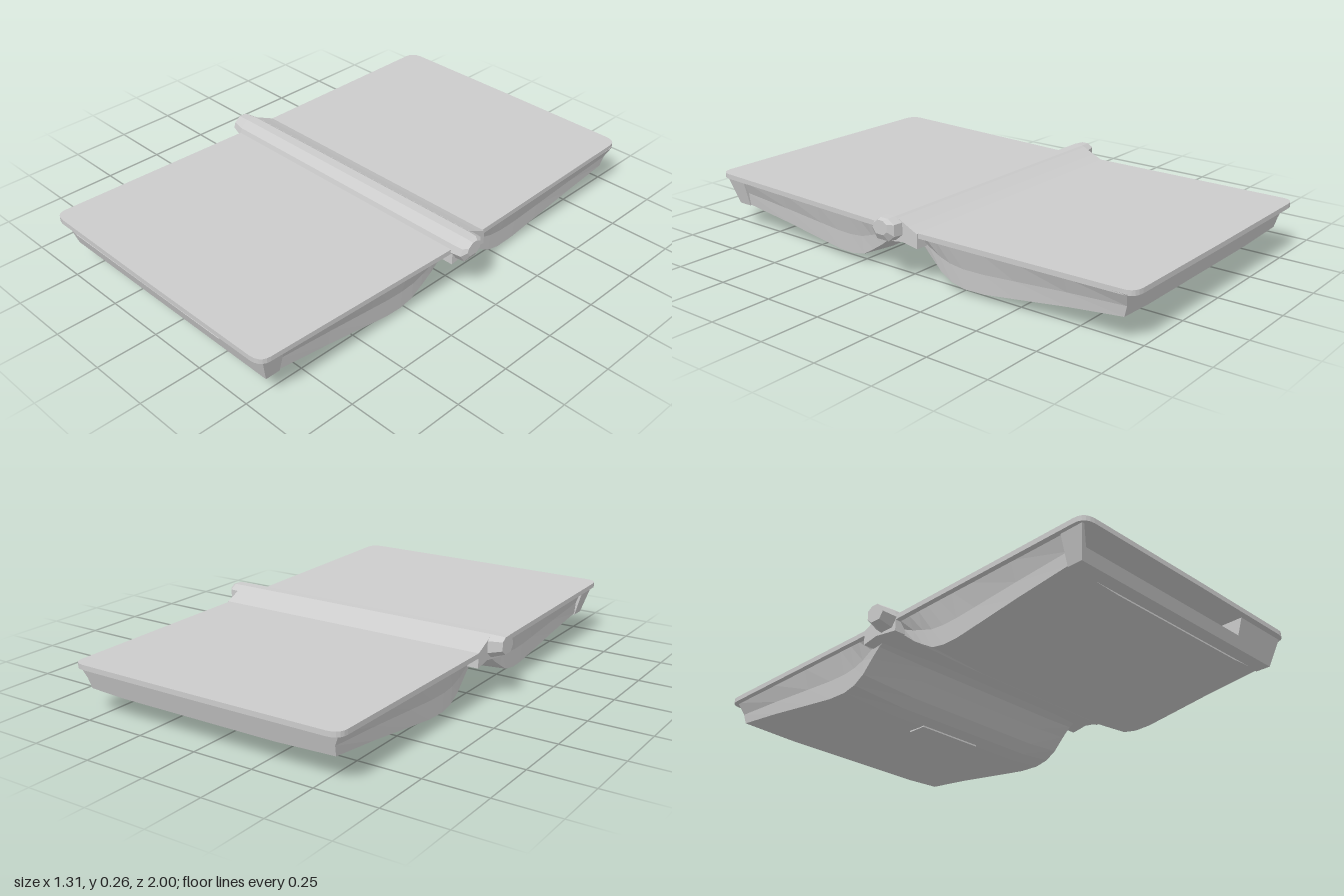
import * as THREE from 'three';

const material = new THREE.MeshStandardMaterial({ color: 0xcccccc, flatShading: true, side: THREE.DoubleSide });

function mesh(name, geometry) {
  const m = new THREE.Mesh(geometry, material);
  m.name = name;
  return m;
}

// Skin closed rings of [x, y, z] points and cap both ends, facing outward
function loft(rings) {
  const n = rings[0].length, pos = rings.flat(2), idx = [];
  for (let i = 0; i < rings.length - 1; i++) {
    for (let j = 0; j < n; j++) {
      const a = i * n + j, b = i * n + (j + 1) % n;
      idx.push(a, b, b + n, a, b + n, a + n);
    }
  }
  [0, rings.length - 1].forEach((r, end) => {
    const c = pos.length / 3;
    for (let k = 0; k < 3; k++) pos.push(rings[r].reduce((s, p) => s + p[k], 0) / n);
    for (let j = 0; j < n; j++) {
      const a = r * n + j, b = r * n + (j + 1) % n;
      idx.push(...(end ? [a, b, c] : [b, a, c]));
    }
  });
  const v = (i) => new THREE.Vector3().fromArray(pos, idx[i] * 3);
  let volume = 0;
  for (let i = 0; i < idx.length; i += 3) volume += v(i).dot(v(i + 1).cross(v(i + 2)));
  if (volume < 0) idx.reverse();
  const g = new THREE.BufferGeometry();
  g.setAttribute('position', new THREE.Float32BufferAttribute(pos, 3));
  g.setIndex(idx);
  g.computeVertexNormals();
  return g;
}

const topY = (z) => 0.209 + 0.021 * Math.max(0, z);

// Thin top panel with rounded outer corners; dir = 1 front, -1 back
function panel(dir, right) {
  const left = -0.6, r = 0.05;
  const s = new THREE.Shape();
  s.moveTo(left, 0);
  s.lineTo(0.59, 0);
  s.lineTo(right, 1 - r);
  s.quadraticCurveTo(right, 0.995, right - r, 0.998);
  s.lineTo(0, 1);
  s.lineTo(left + r, 0.998);
  s.quadraticCurveTo(left, 0.995, left, 1 - r);
  s.closePath();
  const g = new THREE.ExtrudeGeometry(s, { depth: 0.02, bevelEnabled: false, curveSegments: 5 });
  g.rotateX(dir * Math.PI / 2);
  if (dir > 0) g.translate(0, 0.02, 0);
  const p = g.attributes.position;
  for (let i = 0; i < p.count; i++) p.setY(i, p.getY(i) - 0.02 + topY(p.getZ(i)));
  g.computeVertexNormals();
  return g;
}

// Cross-section of the double-bellied tray at one z, leaning outward at its end
function traySection(z, bottom, lean = 0) {
  const top = topY(z) - 0.015, h = top - bottom;
  const at = (x, t) => [x, bottom + h * t, z + lean * t];
  return [
    at(-0.58, 1), at(-0.555, 0.5), at(-0.55, 0.1), at(-0.3, 0),
    at(0.38, 0), at(0.535, 0.08), at(0.542, 0.5), at(0.568, 1),
  ];
}

export function createModel() {
  const group = new THREE.Group();

  // Top panels
  group.add(mesh('frontPanel', panel(1, 0.582)), mesh('backPanel', panel(-1, 0.567)));

  // Underside with two bellies and a waist beneath the hinge
  const belly = [
    [-0.94, 0.09], [-0.72, 0.062], [-0.5, 0.028], [-0.36, 0.007], [-0.27, 0.004],
    [-0.21, 0.018], [-0.16, 0.05], [-0.11, 0.105], [-0.07, 0.145], [-0.02, 0.17],
    [0.04, 0.165], [0.08, 0.135], [0.13, 0.09], [0.18, 0.055], [0.23, 0.022],
    [0.29, 0.01], [0.36, 0.012], [0.45, 0.026], [0.65, 0.058], [0.885, 0.09],
  ];
  group.add(mesh('tray', loft(belly.map(([z, y], i) => traySection(z, y, i === 0 ? -0.03 : 0)))));

  // Front wall with a long open slot
  const wall = new THREE.Shape([
    [-0.552, 0.096], [0.538, 0.096], [0.568, 0.212], [0.315, 0.212],
    [0.315, 0.142], [-0.545, 0.142], [-0.575, 0.212], [-0.585, 0.212],
  ].map(([x, y]) => new THREE.Vector2(x, y)));
  const wallGeometry = new THREE.ExtrudeGeometry(wall, { depth: 0.06, bevelEnabled: false });
  const p = wallGeometry.attributes.position;
  for (let i = 0; i < p.count; i++) {
    if (p.getZ(i) > 0.03) p.setZ(i, p.getZ(i) + (p.getY(i) - 0.096) * 0.3);
  }
  wallGeometry.translate(0, 0, 0.88);
  wallGeometry.computeVertexNormals();
  group.add(mesh('frontWall', wallGeometry));

  // Small tab standing in the slot
  const tab = mesh('slotTab', new THREE.BoxGeometry(0.055, 0.02, 0.03));
  tab.position.set(-0.31, 0.146, 0.915);
  group.add(tab);

  // Low foot under the back belly
  const foot = mesh('foot', new THREE.BoxGeometry(0.3, 0.012, 0.08));
  foot.position.set(0, 0.006, -0.3);
  group.add(foot);

  // Hinge barrel with tapered ends
  const barrel = [
    [0.085, 0.2], [0.075, 0.23], [0.04, 0.256], [0, 0.256],
    [-0.03, 0.237], [-0.03, 0.19], [0, 0.165], [0.06, 0.165],
  ];
  const ring = (x, s) => barrel.map(([z, y]) => [x, 0.24 + (y - 0.24) * s, 0.03 + (z - 0.03) * s]);
  group.add(mesh('hingeBarrel', loft([ring(-0.655, 0.75), ring(-0.6, 1), ring(0.6, 1), ring(0.635, 0.95), ring(0.652, 0.6)])));

  // Sloped cover joining the barrel to the panels
  const cover = [
    [-0.01, 0.25], [-0.06, 0.226], [-0.1, 0.208], [-0.1, 0.15],
    [-0.03, 0.162], [0.08, 0.145], [0.08, 0.2],
  ];
  const slice = (x) => cover.map(([z, y]) => [x, y, z]);
  group.add(mesh('hingeCover', loft([slice(-0.6), slice(0.595)])));

  return group;
}
